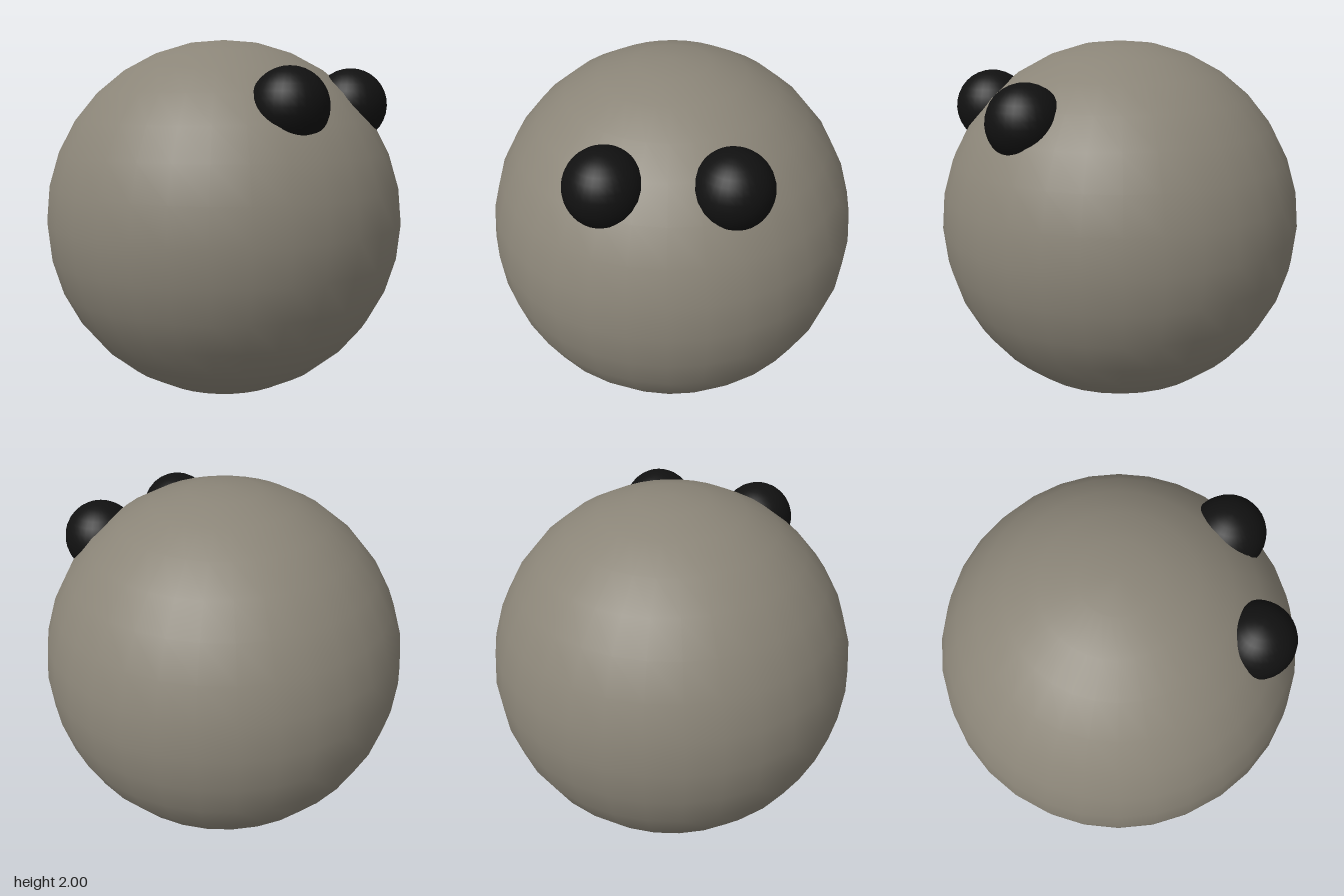
import * as THREE from 'three';

function ball(name, radius, color, x, y, z) {
  const mesh = new THREE.Mesh(
    new THREE.SphereGeometry(radius, 32, 16),
    new THREE.MeshStandardMaterial({ color })
  );
  mesh.name = name;
  mesh.position.set(x, y, z);
  return mesh;
}

export function createModel() {
  const model = new THREE.Group();
  model.name = 'ballCreature';

  // round body standing on the ground
  model.add(ball('body', 1, 0x8b8578, 0, 1, 0));

  // pair of dark eyes, half sunk into the upper +x side
  for (const [name, side] of [['frontEye', 1], ['backEye', -1]]) {
    model.add(ball(name, 0.2, 0x111111, 0.637, 1.64, side * 0.302));
  }

  return model;
}
